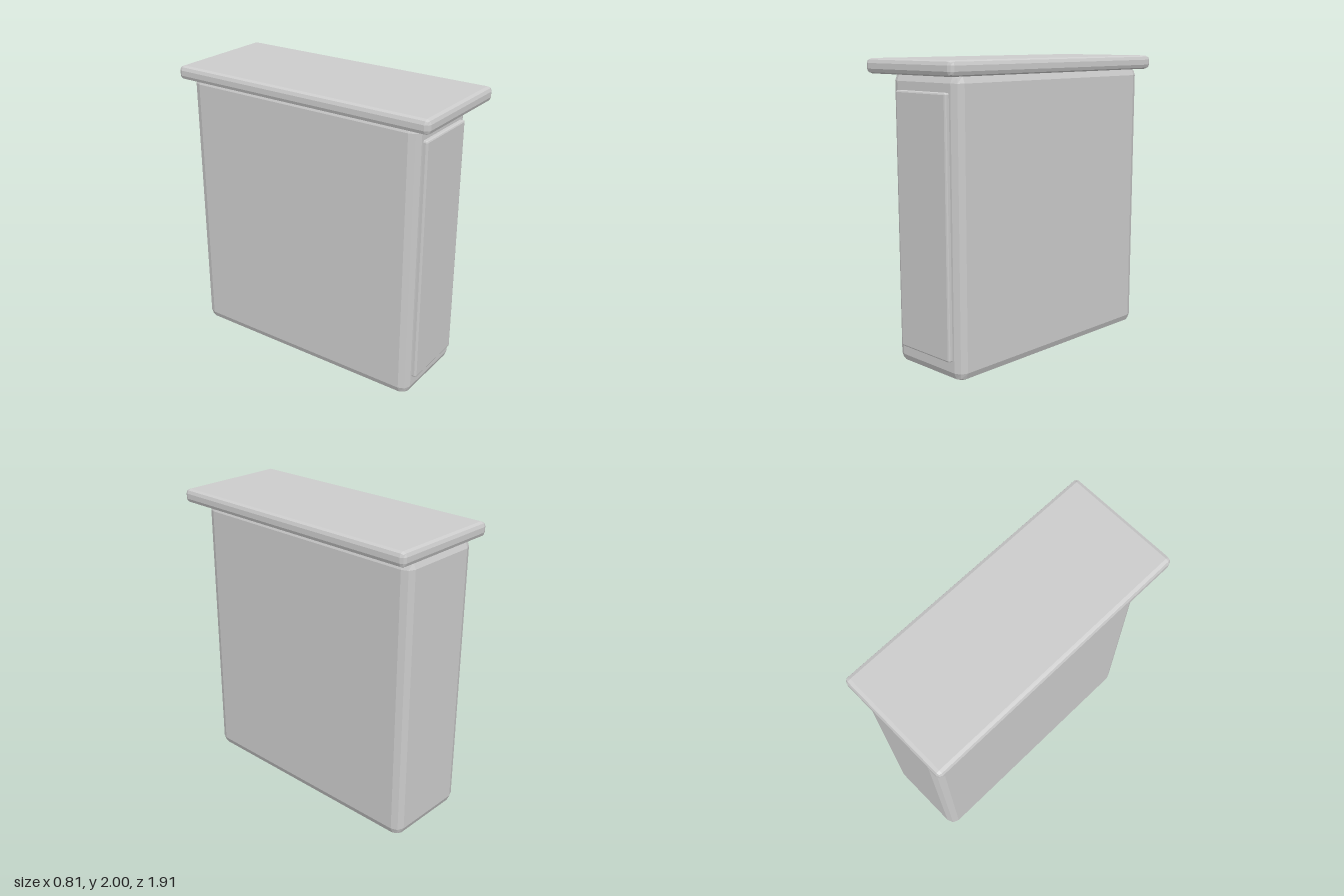
import * as THREE from 'three';
import { RoundedBoxGeometry } from 'three/addons/geometries/RoundedBoxGeometry.js';

const material = new THREE.MeshStandardMaterial({ color: 0xcccccc, flatShading: true });
const shellMaterial = new THREE.MeshStandardMaterial({ color: 0xcccccc, flatShading: true, side: THREE.DoubleSide });

// Box with two-step bevelled edges, given by its [min, max] extents
function bevelledBox(name, [x0, x1], [y0, y1], [z0, z1], bevel, mat = material) {
  const geometry = new RoundedBoxGeometry(x1 - x0, y1 - y0, z1 - z0, 1, bevel);
  const mesh = new THREE.Mesh(geometry, mat);
  mesh.name = name;
  mesh.position.set((x0 + x1) / 2, (y0 + y1) / 2, (z0 + z1) / 2);
  return mesh;
}

// Drop the flat underside so that the shell is open below
function openBottom(geometry) {
  geometry.computeBoundingBox();
  const floor = geometry.boundingBox.min.y + 1e-4;
  const p = geometry.attributes.position;
  const kept = [];
  for (let i = 0; i < p.count; i += 3) {
    if (Math.max(p.getY(i), p.getY(i + 1), p.getY(i + 2)) > floor) kept.push(i, i + 1, i + 2);
  }
  geometry.setIndex(kept);
}

export function createModel() {
  const group = new THREE.Group();
  group.name = 'cabinet';

  // Hollow body
  const body = bevelledBox('body', [-0.305, 0.315], [0, 1.92], [-0.93, 0.83], 0.06, shellMaterial);
  openBottom(body.geometry);

  // Overhanging top slab
  const top = bevelledBox('countertop', [-0.403, 0.403], [1.905, 2], [-0.957, 0.957], 0.03);

  // Front panel set through the front wall
  const panel = bevelledBox('frontPanel', [-0.23, 0.24], [0.13, 1.805], [0.8, 0.86], 0.012);

  group.add(body, top, panel);
  return group;
}
